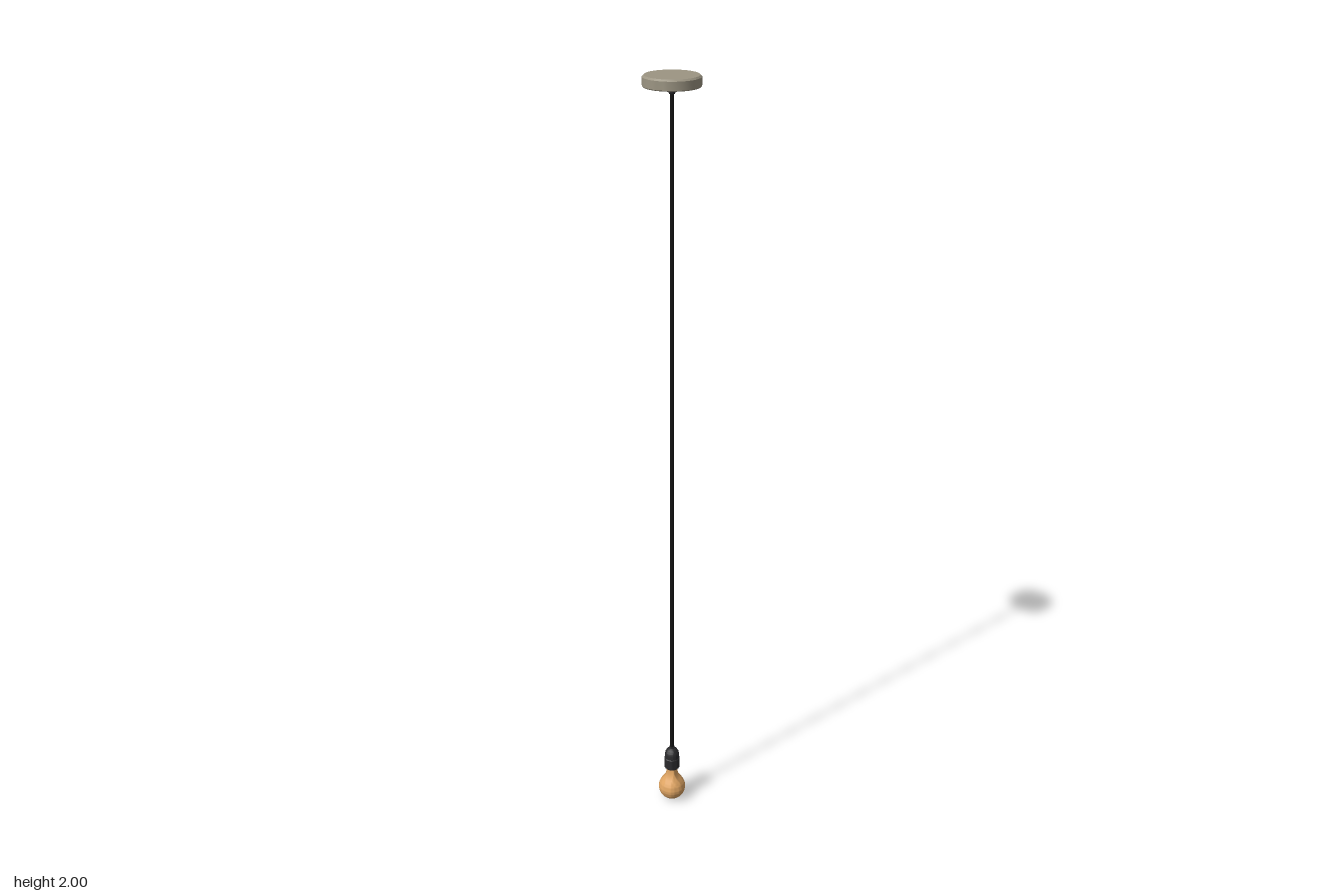
import * as THREE from 'three';
import { toCreasedNormals } from 'three/addons/utils/BufferGeometryUtils.js';

const metal = new THREE.MeshStandardMaterial({ color: 0x9c9583 });
const black = new THREE.MeshStandardMaterial({ color: 0x2b2b2d });
const cable = new THREE.MeshStandardMaterial({ color: 0x141414 });
const amber = new THREE.MeshStandardMaterial({ color: 0xe0a563 });

// Turned part from [radius, height] pairs, listed from bottom to top
function turned(name, profile, material, crease = 0.6) {
  const points = profile.map(([r, y]) => new THREE.Vector2(r, y));
  const geometry = toCreasedNormals(new THREE.LatheGeometry(points, 48), crease);
  const mesh = new THREE.Mesh(geometry, material);
  mesh.name = name;
  return mesh;
}

export function createModel() {
  const group = new THREE.Group();
  group.name = 'pendantLamp';

  // Ceiling canopy with a small bevel on its rims
  group.add(turned('ceilingCanopy', [
    [0, 1.974], [0.066, 1.974], [0.068, 1.976], [0.068, 1.996], [0.064, 2], [0, 2],
  ], metal));

  // Cord grip under the canopy
  group.add(turned('cordGrip', [
    [0, 1.957], [0.006, 1.957], [0.008, 1.96], [0.008, 1.975], [0, 1.975],
  ], black));

  // Hanging cord
  const cord = new THREE.Mesh(new THREE.CylinderGeometry(0.005, 0.005, 1.82, 16), cable);
  cord.name = 'cord';
  cord.position.y = 1.06;
  group.add(cord);

  // Socket: wide collar below, rounded cap above
  group.add(turned('socketCollar', [
    [0, 0.102], [0.019, 0.102], [0.021, 0.104], [0.021, 0.134], [0.019, 0.136], [0, 0.136],
  ], black));
  group.add(turned('socketCap', [
    [0.0195, 0.134], [0.0195, 0.147], [0.018, 0.154], [0.0145, 0.16],
    [0.01, 0.164], [0.007, 0.166], [0.007, 0.17], [0, 0.17],
  ], black));

  // Bulb: round globe blending into a narrow neck
  const r = 0.037;
  const globe = [];
  for (let i = 0; i <= 20; i++) {
    const a = (i / 20) * 2.25;
    globe.push([r * Math.sin(a), 0.0375 - r * Math.cos(a) - 0.0005]);
  }
  const neck = [[0.0235, 0.068], [0.0188, 0.076], [0.016, 0.085], [0.0145, 0.094], [0.014, 0.106]];
  group.add(turned('bulb', [...globe, ...neck], amber, 1.2));

  return group;
}
